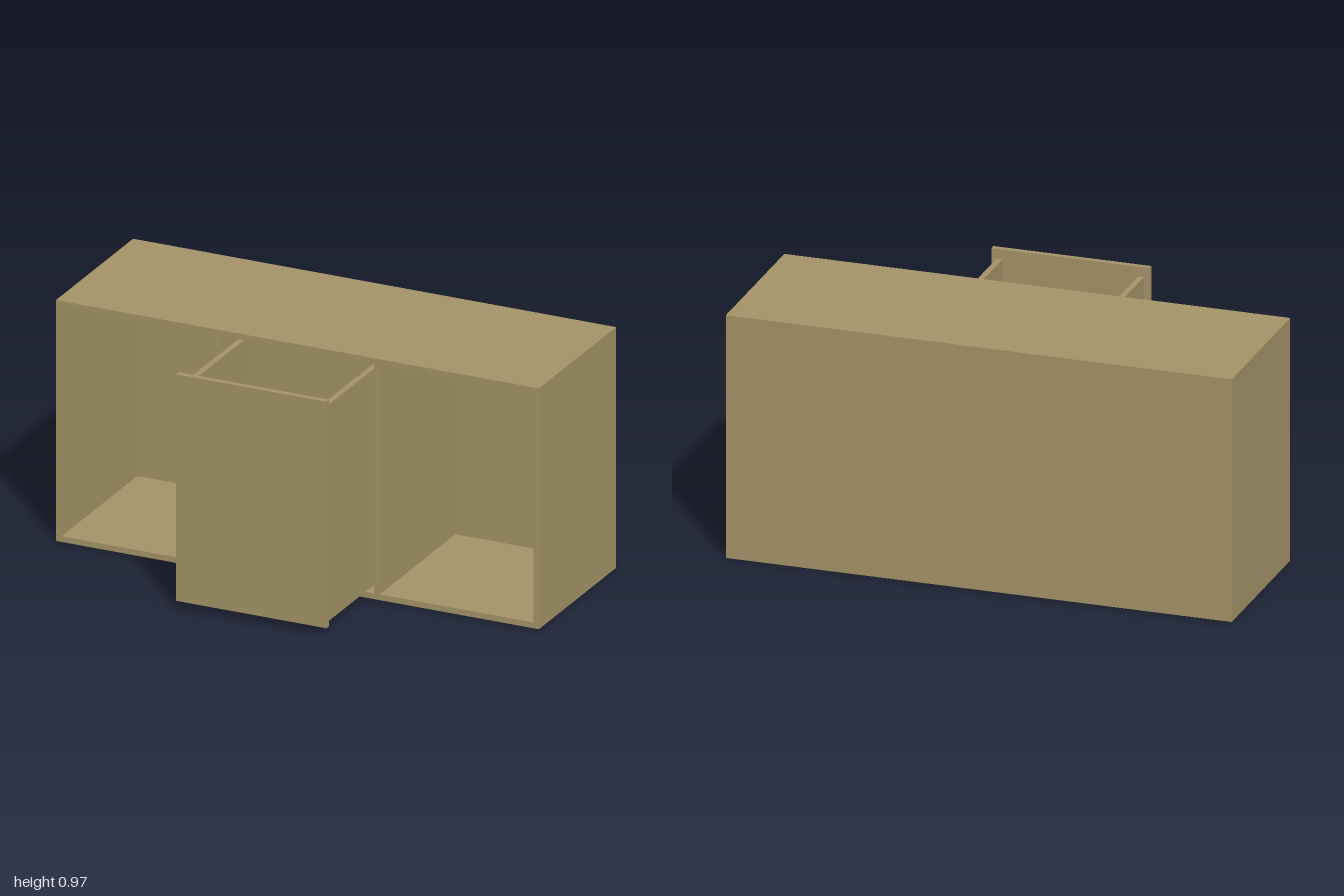
import * as THREE from 'three';

export function createModel() {
  const model = new THREE.Group();
  model.name = 'cabinet';
  const wood = new THREE.MeshStandardMaterial({ color: 0xa59468 });

  // Box panel given by its extents along each axis
  const panel = (parent, name, [x0, x1], [y0, y1], [z0, z1]) => {
    const mesh = new THREE.Mesh(new THREE.BoxGeometry(x1 - x0, y1 - y0, z1 - z0), wood);
    mesh.position.set((x0 + x1) / 2, (y0 + y1) / 2, (z0 + z1) / 2);
    mesh.name = name;
    parent.add(mesh);
  };
  // Extent on the left (s = 1) or right (s = -1) side
  const side = (s, a, b) => (s > 0 ? [a, b] : [-b, -a]);

  // Carcass: open-fronted case with two dividers
  const carcass = new THREE.Group();
  carcass.name = 'carcass';
  const H = 0.973, T = 0.023, back = -0.533, front = 0.133, inner = back + 0.012;
  panel(carcass, 'topPanel', [-1, 1], [H - T, H], [back, front]);
  panel(carcass, 'bottomPanel', [-1, 1], [0, T], [back, front]);
  panel(carcass, 'backPanel', [-1 + T, 1 - T], [T, H - T], [back, inner]);
  for (const s of [1, -1]) {
    const label = s > 0 ? 'left' : 'right';
    panel(carcass, label + 'SidePanel', side(s, 1 - T, 1), [T, H - T], [back, front]);
    panel(carcass, label + 'Divider', side(s, 0.317, 0.34), [T, H - T], [inner, front]);
  }

  // Tall centre drawer, pulled out
  const drawer = new THREE.Group();
  drawer.name = 'drawer';
  const y0 = 0.032, y1 = 0.906, zBack = -0.083, zFront = 0.51;
  panel(drawer, 'drawerFront', [-0.312, 0.312], [0.03, 0.945], [zFront, 0.533]);
  panel(drawer, 'drawerBottom', [-0.268, 0.268], [y0, y0 + T], [zBack, zFront]);
  panel(drawer, 'drawerBack', [-0.268, 0.268], [y0 + T, y1], [zBack, zBack + T]);
  for (const s of [1, -1]) {
    panel(drawer, (s > 0 ? 'left' : 'right') + 'DrawerSide', side(s, 0.268, 0.291), [y0, y1], [zBack, zFront]);
  }

  model.add(carcass, drawer);
  return model;
}
